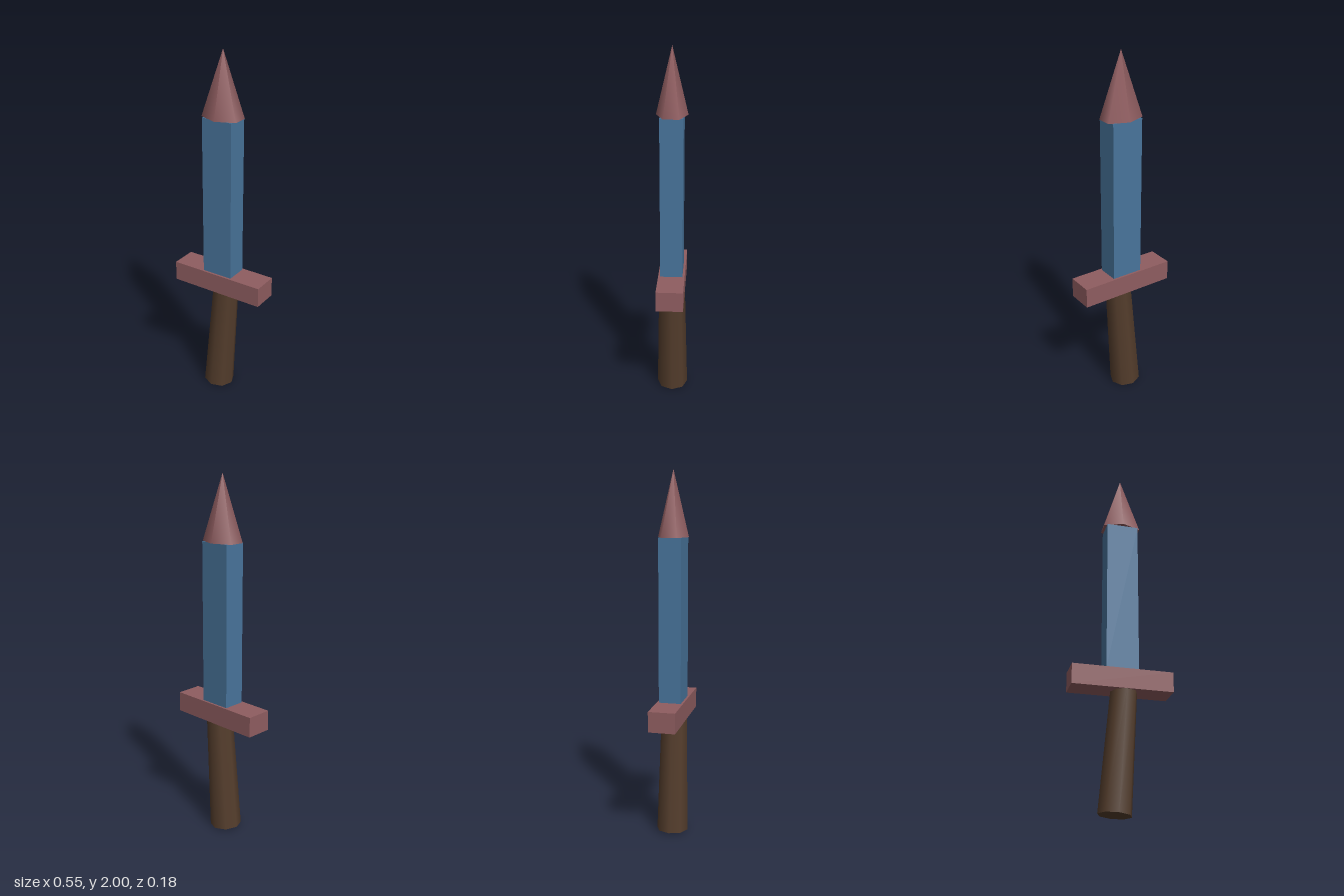
import * as THREE from 'three';

const material = (color) => new THREE.MeshStandardMaterial({ color });

export function createModel() {
  const group = new THREE.Group();
  const red = material(0x8f5d60);
  const blue = material(0x48749b);
  const brown = material(0x543d2c);

  const add = (name, geometry, mat, y) => {
    const mesh = new THREE.Mesh(geometry, mat);
    mesh.name = name;
    mesh.position.y = y;
    group.add(mesh);
    return mesh;
  };

  // Rectangular blade standing on the crossguard
  add('blade', new THREE.BoxGeometry(0.178, 0.89, 0.122), blue, 1.205);
  add('crossguard', new THREE.BoxGeometry(0.55, 0.112, 0.146), red, 0.706);

  // Six-sided point, wider than it is deep
  const tip = add('bladeTip', new THREE.ConeGeometry(0.084, 0.35, 6), red, 1.825);
  tip.scale.x = 1.44;

  // Tapered eight-sided grip, leaning slightly to one side
  const lean = 0.073, length = 0.65;
  const grip = add('grip', new THREE.CylinderGeometry(0.073, 0.088, length, 8), brown, 0);
  grip.rotation.z = -lean;
  grip.position.set(-0.027 + Math.sin(lean) * length / 2, 0.0065 + Math.cos(lean) * length / 2, 0);

  return group;
}
